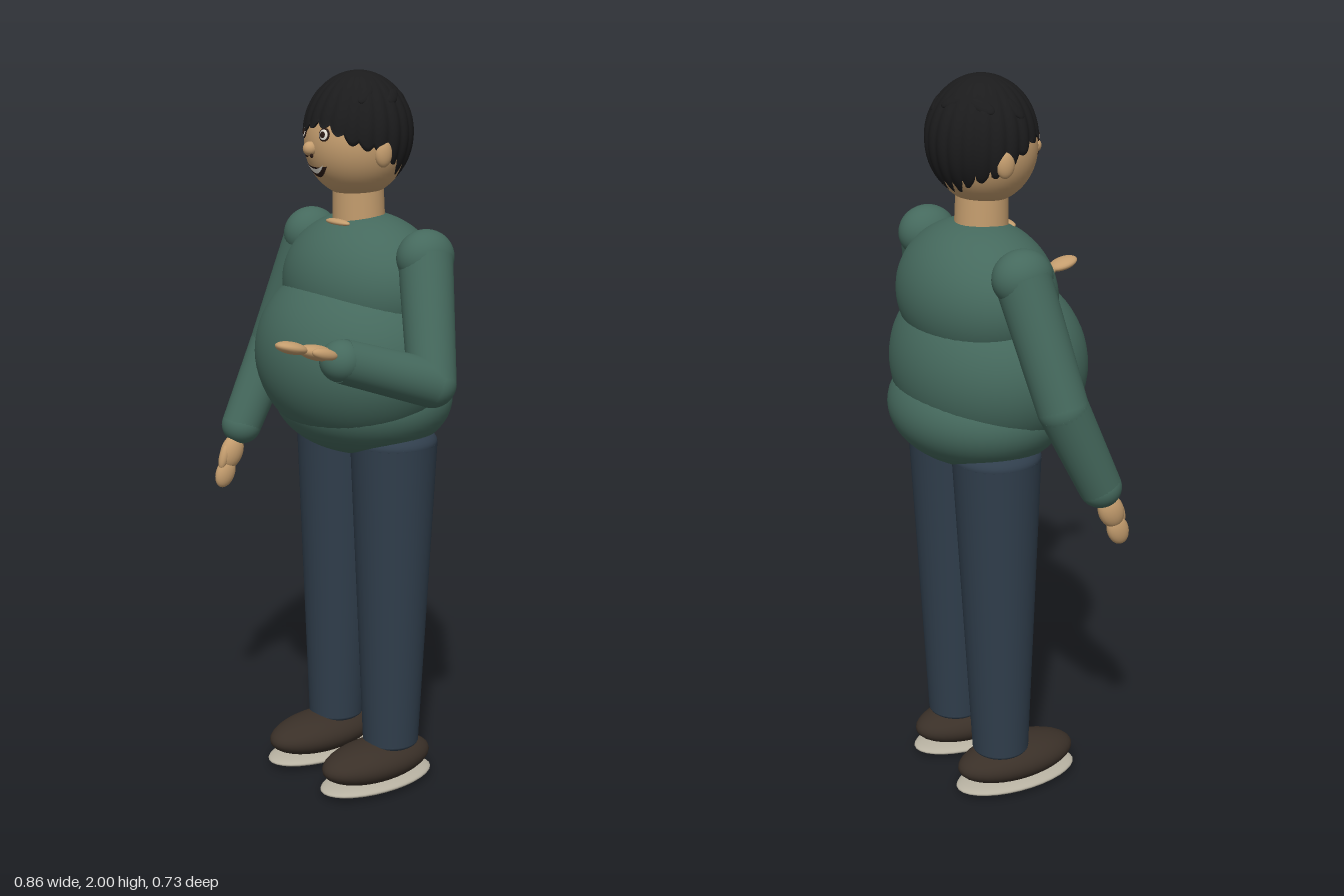
import * as THREE from 'three';

const mat = (name, color) => Object.assign(new THREE.MeshStandardMaterial({ color }), { name });

export function createModel() {
  const model = new THREE.Group();
  model.name = 'standingMan';
  const sweater = mat('sweaterGreen', 0x45695d);
  const denim = mat('denimBlue', 0x303e4c);
  const skin = mat('skin', 0xc49d6e);
  const hairMat = mat('hairBlack', 0x1b1b1c);
  const leather = mat('shoeBrown', 0x3a3028);
  const rubber = mat('soleGrey', 0xb8b2a2);
  const white = mat('eyeWhite', 0xe8e4da);
  const dark = mat('featureDark', 0x2a1a14);
  hairMat.side = THREE.DoubleSide;

  const V = (x, y, z) => new THREE.Vector3(x, y, z);
  const UP = V(0, 1, 0);
  const add = (parent, name, geo, material) => {
    const m = new THREE.Mesh(geo, material);
    m.name = name;
    parent.add(m);
    return m;
  };
  // Ellipsoid from centre and radii
  const blob = (parent, name, c, r, material, seg = 32) => {
    const m = add(parent, name, new THREE.SphereGeometry(1, seg, Math.round(seg * 0.7)), material);
    m.position.set(...c);
    m.scale.set(...r);
    return m;
  };
  // Tapered tube between two points
  const limb = (parent, name, a, b, ra, rb, material) => {
    const d = b.clone().sub(a);
    const m = add(parent, name, new THREE.CylinderGeometry(rb, ra, d.length(), 28), material);
    m.position.copy(a).addScaledVector(d, 0.5);
    m.quaternion.setFromUnitVectors(UP, d.normalize());
    return m;
  };

  // Torso
  blob(model, 'chest', [0, 1.43, -0.13], [0.257, 0.2, 0.2], sweater, 48);
  blob(model, 'belly', [0, 1.24, -0.097], [0.3, 0.255, 0.255], sweater, 48);
  blob(model, 'sweaterHem', [0, 1.12, -0.13], [0.268, 0.16, 0.236], sweater, 48);
  blob(model, 'collarSkin', [0.005, 1.606, -0.04], [0.05, 0.009, 0.016], skin, 20);
  limb(model, 'neck', V(0, 1.58, -0.115), V(0, 1.74, -0.11), 0.072, 0.068, skin);

  // Legs and shoes
  for (const s of [1, -1]) {
    const leg = new THREE.Group();
    leg.name = s > 0 ? 'leftLeg' : 'rightLeg';
    model.add(leg);
    limb(leg, 'trouserLeg', V(s * 0.13, 0.13, -0.138), V(s * 0.125, 1.01, -0.143), 0.079, 0.12, denim);
    blob(leg, 'trouserTop', [s * 0.125, 1.01, -0.143], [0.12, 0.05, 0.12], denim);
    blob(leg, 'trouserCuff', [s * 0.13, 0.13, -0.138], [0.079, 0.025, 0.079], denim);
    blob(leg, 'shoe', [s * 0.128, 0.077, -0.088], [0.092, 0.058, 0.18], leather);
    blob(leg, 'sole', [s * 0.128, 0.02, -0.088], [0.094, 0.02, 0.186], rubber);
  }

  // Arms: shoulder, elbow and wrist joints linked by tapered tubes
  const arm = (name, shoulder, elbow, wrist, rElbow) => {
    const g = new THREE.Group();
    g.name = name;
    model.add(g);
    blob(g, 'shoulder', shoulder.toArray(), [0.069, 0.074, 0.081], sweater);
    limb(g, 'upperArm', shoulder, elbow, 0.073, rElbow, sweater);
    blob(g, 'elbow', elbow.toArray(), [rElbow, rElbow, rElbow], sweater);
    limb(g, 'forearm', elbow, wrist, rElbow, 0.057, sweater);
    blob(g, 'cuff', wrist.toArray(), [0.058, 0.055, 0.057], sweater);
    return g;
  };
  // Hand piece: ellipsoid whose long axis follows a direction
  const handPiece = (g, name, c, r, dir) => {
    blob(g, name, c, r, skin, 20).quaternion.setFromUnitVectors(UP, V(...dir).normalize());
  };
  const rightArm = arm('rightArm', V(-0.253, 1.535, -0.14), V(-0.362, 1.21, -0.085), V(-0.372, 0.975, 0.025), 0.067);
  const down = [0.0, -1, 0.42];
  handPiece(rightArm, 'palm', [-0.372, 0.9, 0.06], [0.026, 0.052, 0.036], down);
  handPiece(rightArm, 'fingers', [-0.372, 0.84, 0.083], [0.02, 0.045, 0.031], down);
  handPiece(rightArm, 'thumb', [-0.368, 0.89, 0.09], [0.014, 0.038, 0.014], [0, -1, 0.3]);

  const leftArm = arm('leftArm', V(0.253, 1.535, -0.14), V(0.366, 1.228, -0.075), V(0.322, 1.315, 0.185), 0.064);
  const forward = [-0.05, 0.27, 1];
  handPiece(leftArm, 'palm', [0.305, 1.342, 0.25], [0.036, 0.052, 0.02], forward);
  handPiece(leftArm, 'fingers', [0.299, 1.363, 0.324], [0.033, 0.045, 0.016], forward);
  handPiece(leftArm, 'thumb', [0.349, 1.347, 0.258], [0.015, 0.038, 0.015], forward);

  // Head, turned slightly to its right
  const head = new THREE.Group();
  head.name = 'head';
  head.position.set(0, 1.817, -0.105);
  head.rotation.y = -0.11;
  model.add(head);
  const R = [0.14, 0.148, 0.14];
  blob(head, 'skull', [0, 0, 0], R, skin, 48);
  const faceZ = (x, y) => R[2] * Math.sqrt(Math.max(0, 1 - (x / R[0]) ** 2 - (y / R[1]) ** 2));
  blob(head, 'nose', [0, -0.012, 0.142], [0.019, 0.019, 0.02], skin, 20);
  for (const s of [1, -1]) {
    blob(head, 'ear', [s * 0.137, -0.02, 0.0], [0.016, 0.036, 0.025], skin, 20);
    // Eyes as thin discs lying on the face
    const disc = (name, x, y, r, lift, material) => {
      const m = blob(head, name, [x, y, faceZ(x, y) + lift], [r, r, 0.004], material, 20);
      m.rotation.set(-Math.asin(y / R[1]), Math.asin(x / R[0]), 0, 'YXZ');
    };
    disc('eyeRim', s * 0.05, 0.028, 0.018, 0, dark);
    disc('eyeWhite', s * 0.05, 0.028, 0.0145, 0.0015, white);
    disc('pupil', s * 0.049, 0.028, 0.0095, 0.003, dark);
    disc('nostril', s * 0.012, -0.029, 0.006, 0.008, dark);
  }
  // Mouth: tapered, curved strips wrapped on the face
  const smile = (name, width, height, y0, lift, material) => {
    const geo = new THREE.PlaneGeometry(2, 2, 20, 2);
    const p = geo.attributes.position;
    for (let i = 0; i < p.count; i++) {
      const u = p.getX(i);
      const x = u * width / 2;
      const y = y0 + 0.02 * u * u + p.getY(i) * height / 2 * (1 - u * u);
      p.setXYZ(i, x, y, faceZ(x, y) + lift);
    }
    geo.computeVertexNormals();
    add(head, name, geo, material);
  };
  smile('mouth', 0.104, 0.028, -0.075, 0.002, dark);
  smile('teeth', 0.086, 0.013, -0.072, 0.004, white);

  // Hair cap: ridged locks running from the crown to a jagged hem, tucked in below
  const hair = new THREE.SphereGeometry(1, 176, 24);
  const p = hair.attributes.position;
  const cols = 177;
  for (let i = 0; i < p.count; i++) {
    const a = (i % cols) / (cols - 1) * Math.PI * 2;
    const row = Math.floor(i / cols);
    const t = Math.min(row / 22, 1);
    const lock = Math.abs(Math.sin(a * 11 + 1.2 * t));
    const hemY = -0.045 + 0.078 * Math.cos(a) - 0.016 * lock + 0.008 * Math.sin(a * 5);
    const theta = t * Math.acos(hemY / 0.16);
    const tuck = row > 22 ? 1 - 0.07 * (row - 22) : 1;
    const k = (0.975 + 0.04 * lock * Math.min(1, t * 2)) * tuck;
    const s = Math.sin(theta) * k;
    p.setXYZ(i, Math.sin(a) * s * 0.147, Math.cos(theta) * 0.164, Math.cos(a) * s * 0.146);
  }
  // Ring order runs the other way round, so flip the faces
  const idx = hair.index;
  const A = V(0, 0, 0), B = V(0, 0, 0), C = V(0, 0, 0);
  for (let i = 0; i < idx.count; i += 3) {
    const [a, b, c] = [idx.getX(i), idx.getX(i + 1), idx.getX(i + 2)];
    A.fromBufferAttribute(p, a); B.fromBufferAttribute(p, b); C.fromBufferAttribute(p, c);
    const n = B.clone().sub(A).cross(C.clone().sub(A));
    if (n.dot(A.clone().add(B).add(C)) < 0) { idx.setX(i + 1, c); idx.setX(i + 2, b); }
  }
  hair.computeVertexNormals();
  add(head, 'hair', hair, hairMat).position.set(0, 0.023, -0.006);
  // Loose tufts around the crown and back
  for (let i = 0; i < 6; i++) {
    const a = 1.2 + i * 0.78;
    const d = V(Math.sin(a) * 0.75, 0.75 - 0.1 * (i % 3), Math.cos(a) * 0.75).normalize();
    const tuft = blob(head, 'tuft', [d.x * 0.143, 0.023 + d.y * 0.155, d.z * 0.141 - 0.006], [0.018, 0.036, 0.008], hairMat, 16);
    tuft.quaternion.setFromUnitVectors(V(0, 0, 1), d);
  }
  return model;
}
